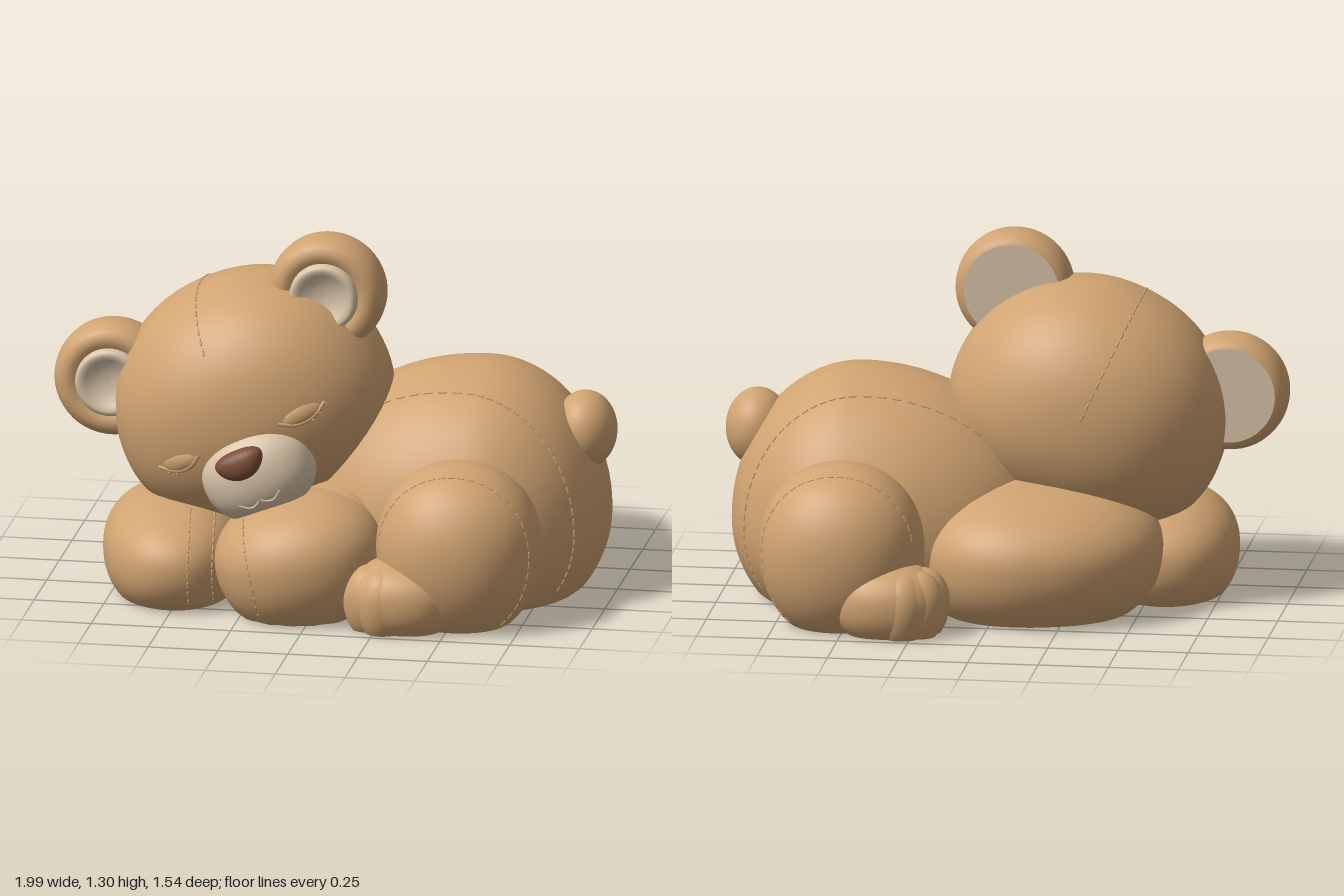
import * as THREE from 'three';
import { mergeVertices, mergeGeometries } from 'three/addons/utils/BufferGeometryUtils.js';

const mat = (name, color) => {
  const m = new THREE.MeshStandardMaterial({ color });
  m.name = name;
  return m;
};
const tan = mat('tan plush', 0xd0a371);
const beige = mat('beige plush', 0xd9c3a8);
const noseBrown = mat('nose brown', 0x7c4f39);

// Point on a soft ellipsoid whose radii may differ on each side of its centre
function surf(s, dir) {
  const n = s.n ?? 2;
  const d = dir.toArray();
  const k = d.reduce((sum, v) => sum + Math.abs(v) ** n, 0) ** (-1 / n);
  const p = new THREE.Vector3(...d.map((v, i) => v * k * (v < 0 ? (s.lo ?? s.hi)[i] : s.hi[i])));
  if (s.rot) p.applyEuler(new THREE.Euler(...s.rot));
  return p.add(new THREE.Vector3(...s.c));
}

// Soft ellipsoid; floor = true flattens everything under y = 0
function blob(name, s, material = tan, floor = true) {
  let g = new THREE.SphereGeometry(1, 56, 40);
  g.deleteAttribute('uv');
  g.deleteAttribute('normal');
  g = mergeVertices(g, 1e-4);
  const p = g.attributes.position;
  for (let i = 0; i < p.count; i++) {
    const v = surf(s, new THREE.Vector3().fromBufferAttribute(p, i));
    if (s.taper) v.x = s.c[0] + (v.x - s.c[0]) * (1 + s.taper * (v.y - s.c[1]));
    p.setXYZ(i, v.x, v.y, v.z);
  }
  g.computeVertexNormals();
  if (floor) {
    for (let i = 0; i < p.count; i++) {
      if (p.getY(i) < 0) {
        p.setY(i, 0);
        g.attributes.normal.setXYZ(i, 0, -1, 0);
      }
    }
  }
  const m = new THREE.Mesh(g, material);
  m.name = name;
  return m;
}

// Row of raised stitches following directions dirAt(angle) over a blob
function stitches(name, s, dirAt, from, to, count) {
  const parts = [];
  const up = new THREE.Vector3(0, 1, 0);
  for (let i = 0; i < count; i++) {
    const a = from + (to - from) * i / count;
    const p = surf(s, dirAt(a));
    const q = surf(s, dirAt(a + (to - from) * 0.5 / count));
    if (p.y < 0.012 || q.y < 0.012) continue;
    const g = new THREE.CapsuleGeometry(0.004, p.distanceTo(q), 3, 8);
    g.applyQuaternion(new THREE.Quaternion().setFromUnitVectors(up, q.clone().sub(p).normalize()));
    const mid = p.add(q).multiplyScalar(0.5);
    g.translate(mid.x, mid.y, mid.z);
    parts.push(g);
  }
  const m = new THREE.Mesh(mergeGeometries(parts), tan);
  m.name = name;
  return m;
}

function tube(name, points, radius, material) {
  const curve = new THREE.CatmullRomCurve3(points);
  const m = new THREE.Mesh(new THREE.TubeGeometry(curve, 20, radius, 8), material);
  m.name = name;
  return m;
}

function lathe(name, profile, material) {
  const g = new THREE.LatheGeometry(profile.map(([r, y]) => new THREE.Vector2(r, y)), 48);
  g.rotateX(Math.PI / 2);
  const m = new THREE.Mesh(g, material);
  m.name = name;
  return m;
}

const V = (x, y, z) => new THREE.Vector3(x, y, z);

function makeEar(side) {
  const ear = new THREE.Group();
  ear.name = side > 0 ? 'leftEar' : 'rightEar';
  ear.add(
    lathe('earRim', [[0.165, -0.094], [0.182, -0.087], [0.198, -0.068], [0.207, -0.04], [0.21, 0],
      [0.207, 0.035], [0.198, 0.063], [0.182, 0.084], [0.16, 0.094], [0.138, 0.092], [0.118, 0.08]], tan),
    lathe('innerEar', [[0.124, 0.075], [0.122, 0.096], [0.115, 0.109], [0.102, 0.113], [0.085, 0.104],
      [0.06, 0.088], [0.03, 0.08], [0, 0.078]], beige),
    lathe('earBack', [[0, -0.095], [0.17, -0.095]], beige));
  ear.position.set(side * 0.422, 0.238, 0.043);
  return ear;
}

function makeHead() {
  const head = new THREE.Group();
  head.name = 'head';
  const skull = {
    c: [0, 0, 0], lo: [0.498, 0.43, 0.425], hi: [0.498, 0.43, 0.425], n: 2.15, taper: -0.2
  };
  const faceZ = (x, y) => 0.425 *
    (1 - Math.abs(x / 0.498) ** 2.15 - Math.abs(y / 0.43) ** 2.15) ** (1 / 2.15);
  head.add(blob('skull', skull, tan, false));
  head.add(stitches('headSeam', skull, a => V(0, Math.sin(a), Math.cos(a)), 0.6, 3.9, 34));

  // Muzzle, nose and mouth
  const muzzle = { c: [0, -0.215, 0.33], hi: [0.205, 0.168, 0.16], n: 2.2 };
  head.add(blob('muzzle', muzzle, beige, false));
  head.add(blob('nose', {
    c: [-0.01, -0.142, 0.478], hi: [0.085, 0.054, 0.05], n: 2.3, taper: 5
  }, noseBrown, false));
  for (const s of [-1, 1]) {
    const pts = [[0, -0.25], [0.015, -0.4], [0.2, -0.52], [0.38, -0.38]]
      .map(([x, y]) => surf(muzzle, V(s * x, y, 0.85)));
    head.add(tube('mouthLine', pts, 0.005, beige));
  }

  // Closed eyes with drooping lash lines
  for (const s of [-1, 1]) {
    const eye = new THREE.Group();
    eye.name = s > 0 ? 'leftEye' : 'rightEye';
    const at = (t, drop = 0, out = 0.003) => {
      const x = s * (0.24 + 0.085 * t), y = -0.105 + 0.035 * t * t - drop;
      return V(x, y, faceZ(x, y) + out);
    };
    eye.add(blob('eyelid', {
      c: [s * 0.24, -0.075, faceZ(0.24, -0.075) - 0.025], hi: [0.09, 0.045, 0.033],
      rot: [0, s * 0.45, 0]
    }, tan, false));
    eye.add(tube('lashLine', [-1, -0.5, 0, 0.5, 1].map(t => at(t, 0, 0.004)), 0.007, tan));
    for (const t of [0.2, 0.55, 0.9]) {
      eye.add(tube('lash', [at(t), at(t + 0.08, 0.008, 0.006), at(t + 0.16, 0.013, 0.008)], 0.004, tan));
    }
    head.add(eye, makeEar(s));
  }
  head.position.set(-0.295, 0.695, 0.105);
  head.rotation.z = 0.43;
  return head;
}

function makeHindLeg(side) {
  const leg = new THREE.Group();
  leg.name = side > 0 ? 'leftHindLeg' : 'rightHindLeg';
  const thigh = {
    c: [0.52, 0.275, side * 0.48], lo: [0.293, 0.34, 0.273], hi: [0.293, 0.305, 0.273], n: 2.1
  };
  const foot = { c: [0.34, 0.12, side * 0.6], hi: [0.2, 0.135, 0.168], lo: [0.2, 0.16, 0.168], n: 2.2 };
  leg.add(blob('thigh', thigh), blob('foot', foot));
  // Broad toes, barely raised from the tip of the foot
  for (const [x, z] of [[0.215, 0.575], [0.225, 0.635], [0.28, 0.675]]) {
    leg.add(blob('toe', {
      c: [x, 0.115, side * z], hi: [0.092, 0.118, 0.09], lo: [0.092, 0.15, 0.09]
    }));
  }
  leg.add(stitches('thighSeam', thigh, a => V(Math.cos(a), Math.sin(a), side * 0.45), -0.9, 3.0, 30));
  return leg;
}

export function createModel() {
  const bear = new THREE.Group();
  bear.name = 'sleepingBear';

  // Torso with two long seams
  const body = { c: [0.52, 0.27, 0], lo: [0.68, 0.43, 0.51], hi: [0.453, 0.553, 0.51] };
  bear.add(blob('body', body));
  for (const s of [-1, 1]) {
    bear.add(stitches('bodySeam', body,
      a => V(Math.cos(a), Math.sin(a), s * (0.52 + 0.15 * Math.cos(a))), -0.6, 2.5, 36));
  }
  bear.add(blob('tail', { c: [0.885, 0.583, 0], hi: [0.113, 0.14, 0.13] }));

  // Shoulders and folded arms under the chin
  bear.add(blob('shoulders', {
    c: [-0.1, 0.22, -0.14], lo: [0.48, 0.32, 0.455], hi: [0.42, 0.25, 0.45], n: 2.15, rot: [0, 0.18, 0]
  }));
  const rightArm = {
    c: [-0.535, 0.155, 0.21], lo: [0.265, 0.24, 0.4], hi: [0.245, 0.205, 0.425], n: 2.2, rot: [0, 0.14, 0]
  };
  bear.add(blob('rightArm', rightArm));
  const leftArm = {
    c: [-0.055, 0.21, 0.45], lo: [0.305, 0.28, 0.3], hi: [0.305, 0.218, 0.3], n: 2.15, rot: [0, 0.1, 0.2]
  };
  bear.add(blob('leftArm', leftArm));
  bear.add(blob('leftUpperArm', {
    c: [0.06, 0.23, 0.3], lo: [0.25, 0.3, 0.28], hi: [0.2, 0.21, 0.3], n: 2.1
  }));
  for (const k of [0.2, 0.62]) {
    bear.add(stitches('rightPawSeam', rightArm, a => V(k, Math.cos(a), Math.sin(a)), 0.5, 2.6, 14));
  }
  bear.add(stitches('leftPawSeam', leftArm, a => V(-0.6, Math.cos(a), Math.sin(a)), 0.2, 2.6, 16));

  for (const s of [-1, 1]) bear.add(makeHindLeg(s));
  bear.add(makeHead());
  return bear;
}
